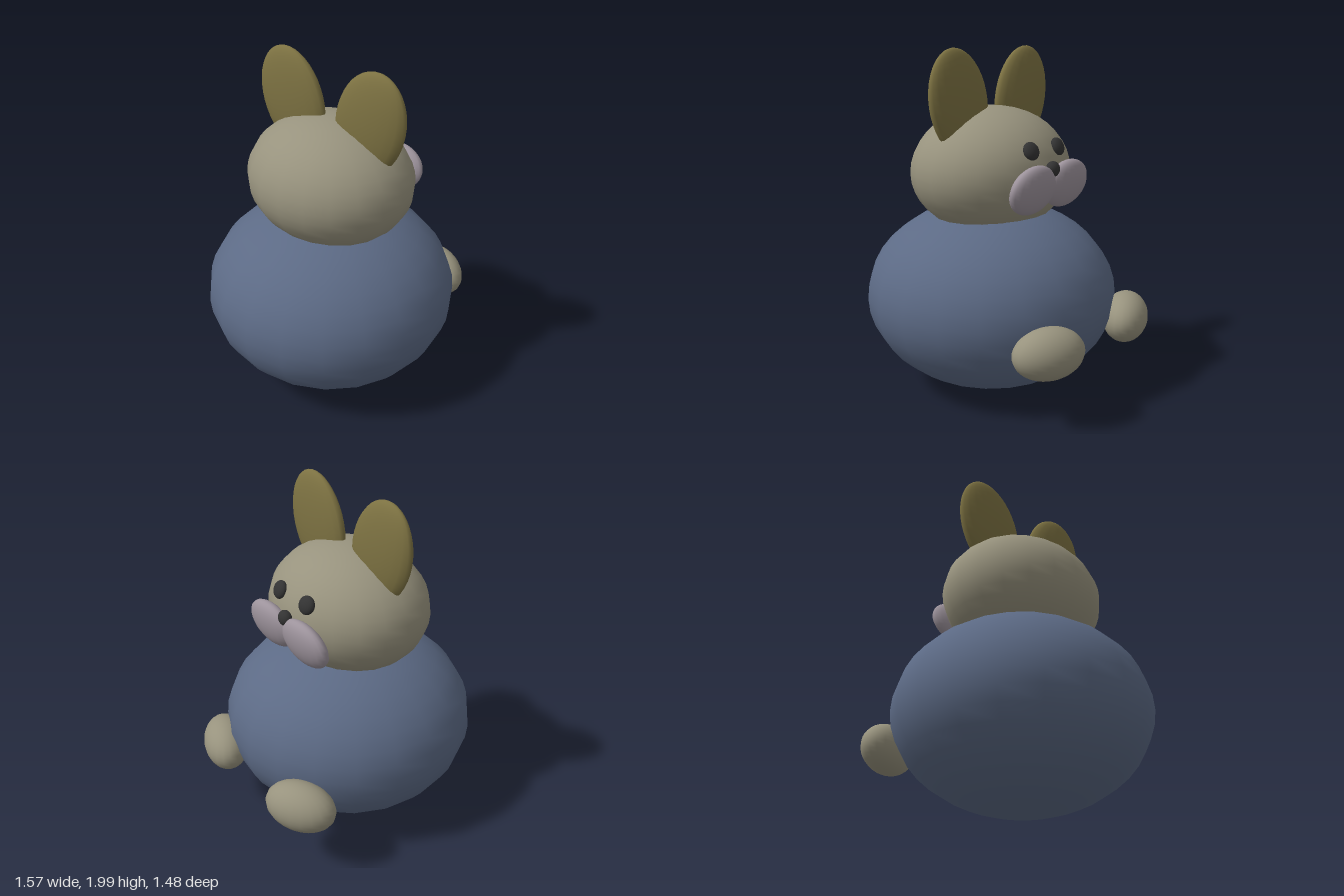
import * as THREE from 'three';

const material = (color) => new THREE.MeshStandardMaterial({ color });

export function createModel() {
  const model = new THREE.Group();
  const blue = material(0x5c6a85);
  const fur = material(0x98937e);
  const olive = material(0x7d7242);
  const mauve = material(0x9d939c);
  const black = material(0x333333);
  const ball = new THREE.SphereGeometry(1, 20, 20);

  // Every part is a stretched and turned ball
  function add(name, mat, position, radii, rotation = [0, 0, 0]) {
    const mesh = new THREE.Mesh(ball, mat);
    mesh.name = name;
    mesh.position.set(...position);
    mesh.scale.set(...radii);
    mesh.rotation.set(...rotation);
    model.add(mesh);
  }

  // The face looks along +x
  add('body', blue, [-0.05, 0.56, 0], [0.74, 0.555, 0.74]);
  add('head', fur, [-0.05, 1.3, 0], [0.44, 0.37, 0.5]);
  add('nose', black, [0.395, 1.347, 0], [0.037, 0.045, 0.047]);

  // Paired parts on either side of the face
  for (const [side, s] of [['front', 1], ['back', -1]]) {
    add(side + 'Ear', olive, [-0.05, 1.7, 0.27 * s], [0.066, 0.306, 0.222], [0.286 * s, 0, 0]);
    add(side + 'Eye', black, [0.338, 1.455, 0.12 * s], [0.03, 0.052, 0.052], [0, -0.15 * s, 0.4]);
    add(side + 'Cheek', mauve, [0.377, 1.248, 0.15 * s], [0.066, 0.141, 0.185], [0, 0, -0.23]);
    // The feet sit slightly off centre
    add(side + 'Foot', fur, [0.635, 0.435, 0.378 * s - 0.043], [0.133, 0.145, 0.209], [0, -0.44 * s, 0]);
  }
  return model;
}
